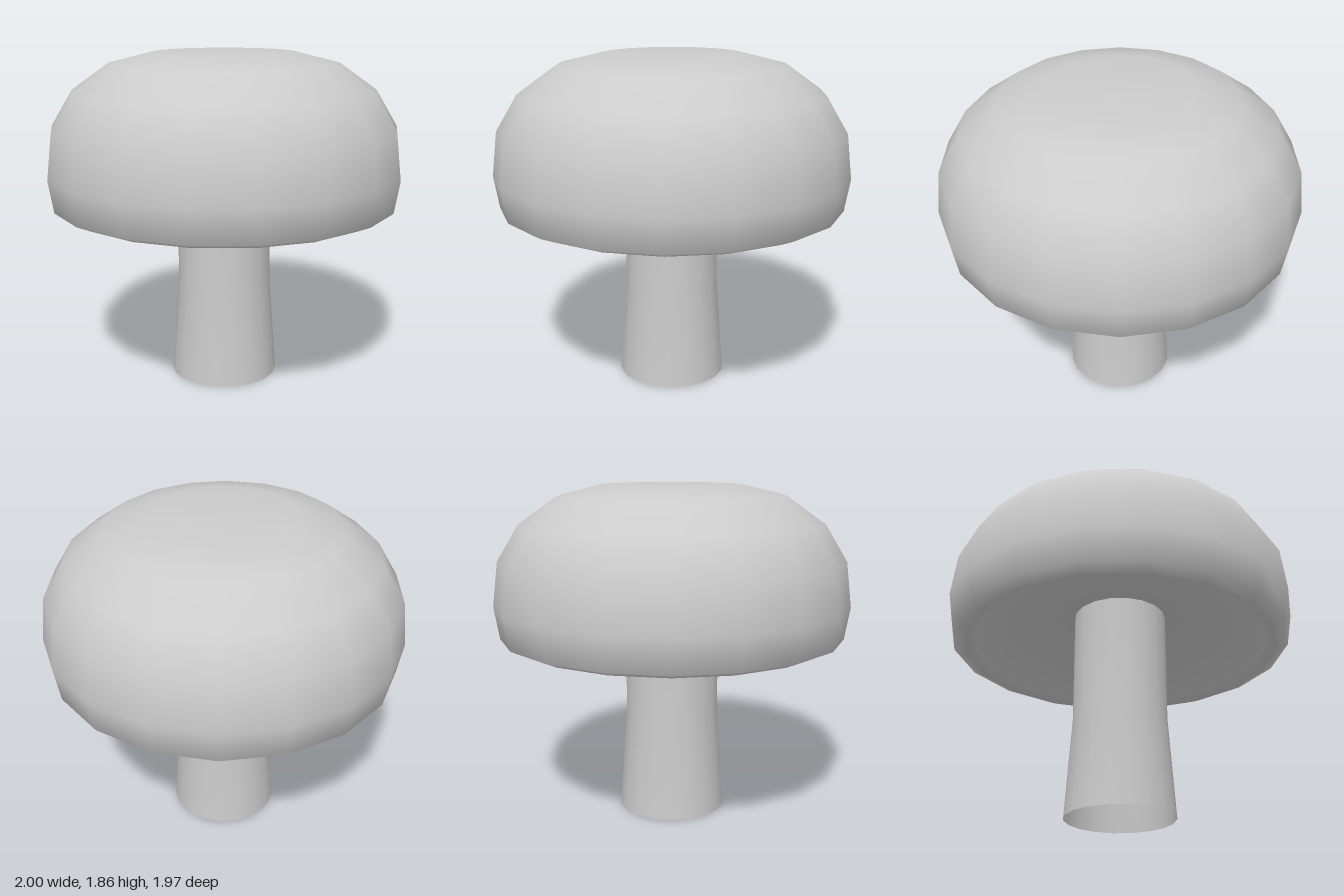
import * as THREE from 'three';

const SIDES = 18;
const material = new THREE.MeshStandardMaterial({ color: 0xcccccc, side: THREE.DoubleSide });

// Revolve a [radius, height] profile; half a step of turn puts a corner on the x axis
function revolve(name, profile) {
  const points = profile.map(([r, y]) => new THREE.Vector2(r, y));
  const geometry = new THREE.LatheGeometry(points, SIDES, Math.PI / SIDES);
  const mesh = new THREE.Mesh(geometry, material);
  mesh.name = name;
  return mesh;
}

export function createModel() {
  const group = new THREE.Group();
  group.name = 'mushroom';

  // Cap: hollow underside, rolled lip, then the dome up to its flat crown
  group.add(revolve('cap', [
    [0.25, 1.2], [0.48, 1.2], [0.7, 1.12], [0.84, 1.02],
    [0.89, 0.985], [0.97, 1.02], [1, 1.2], [0.97, 1.45],
    [0.85, 1.65], [0.64, 1.8], [0.4, 1.86], [0, 1.86],
  ]));

  // Stem: open tube, flared toward the foot
  group.add(revolve('stem', [[0.305, 0], [0.265, 0.57], [0.265, 1.21]]));

  return group;
}
